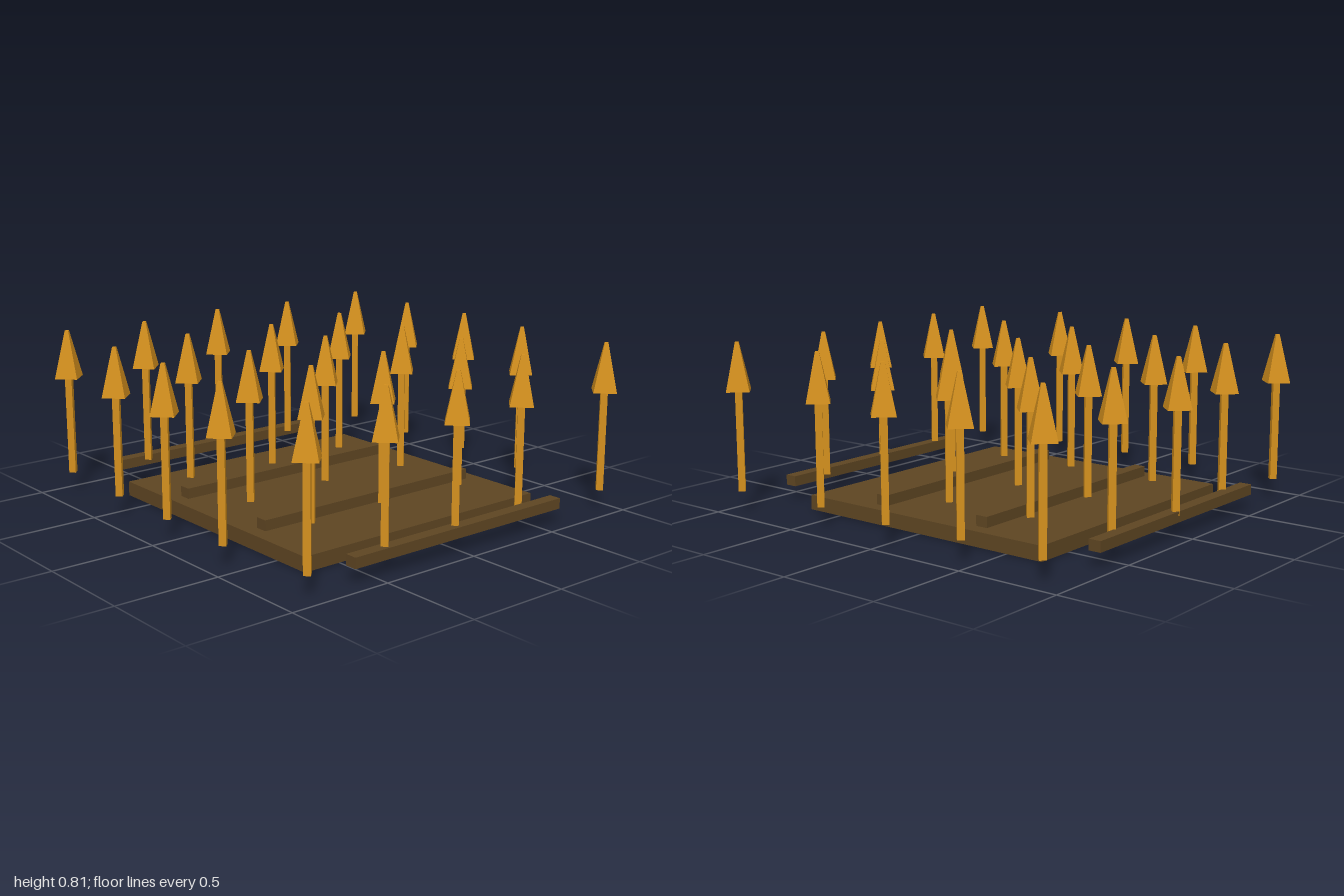
import * as THREE from 'three';

const wood = new THREE.MeshStandardMaterial({ color: 0x5e4522, flatShading: true });
const gold = new THREE.MeshStandardMaterial({ color: 0xd4901e, flatShading: true });

// Slightly irregular 5 x 5 planting, rows from back to front: [x, z]
const rows = [
  [[-0.87, -0.92], [-0.43, -0.905], [-0.02, -0.925], [0.415, -0.89], [0.92, -0.915]],
  [[-0.865, -0.435], [-0.435, -0.44], [0.02, -0.46], [0.43, -0.46], [0.855, -0.425]],
  [[-0.92, -0.02], [-0.42, 0.01], [-0.025, -0.01], [0.41, 0.01], [0.895, 0.015]],
  [[-0.875, 0.455], [-0.48, 0.465], [0.01, 0.465], [0.425, 0.44], [0.9, 0.43]],
  [[-0.92, 0.865], [-0.445, 0.89], [-0.02, 0.905], [0.42, 0.915], [0.92, 0.86]],
];

function addMesh(parent, name, geometry, material, x, y, z) {
  const mesh = new THREE.Mesh(geometry, material);
  mesh.name = name;
  mesh.position.set(x, y, z);
  parent.add(mesh);
}

export function createModel() {
  const group = new THREE.Group();
  group.name = 'cropField';

  // Soil slab
  addMesh(group, 'soilBed', new THREE.BoxGeometry(1.38, 0.07, 1.38), wood, 0, 0.035, 0);

  // Furrow ridges: two on the slab, two beside it
  const ridge = new THREE.BoxGeometry(0.06, 0.05, 1.24);
  for (const x of [-0.91, -0.305, 0.295, 0.905]) {
    addMesh(group, 'furrowRidge', ridge, wood, x, 0.095, 0);
  }

  // Four-sided stalks with tapered heads
  const stalk = new THREE.CylinderGeometry(0.023, 0.023, 0.48, 4);
  const head = new THREE.CylinderGeometry(0.012, 0.077, 0.23, 4);
  for (const [x, z] of rows.flat()) {
    const plant = new THREE.Group();
    plant.name = 'plant';
    plant.position.set(x, 0, z);
    addMesh(plant, 'stalk', stalk, gold, 0, 0.34, 0);
    addMesh(plant, 'grainHead', head, gold, 0, 0.695, 0);
    group.add(plant);
  }
  return group;
}
